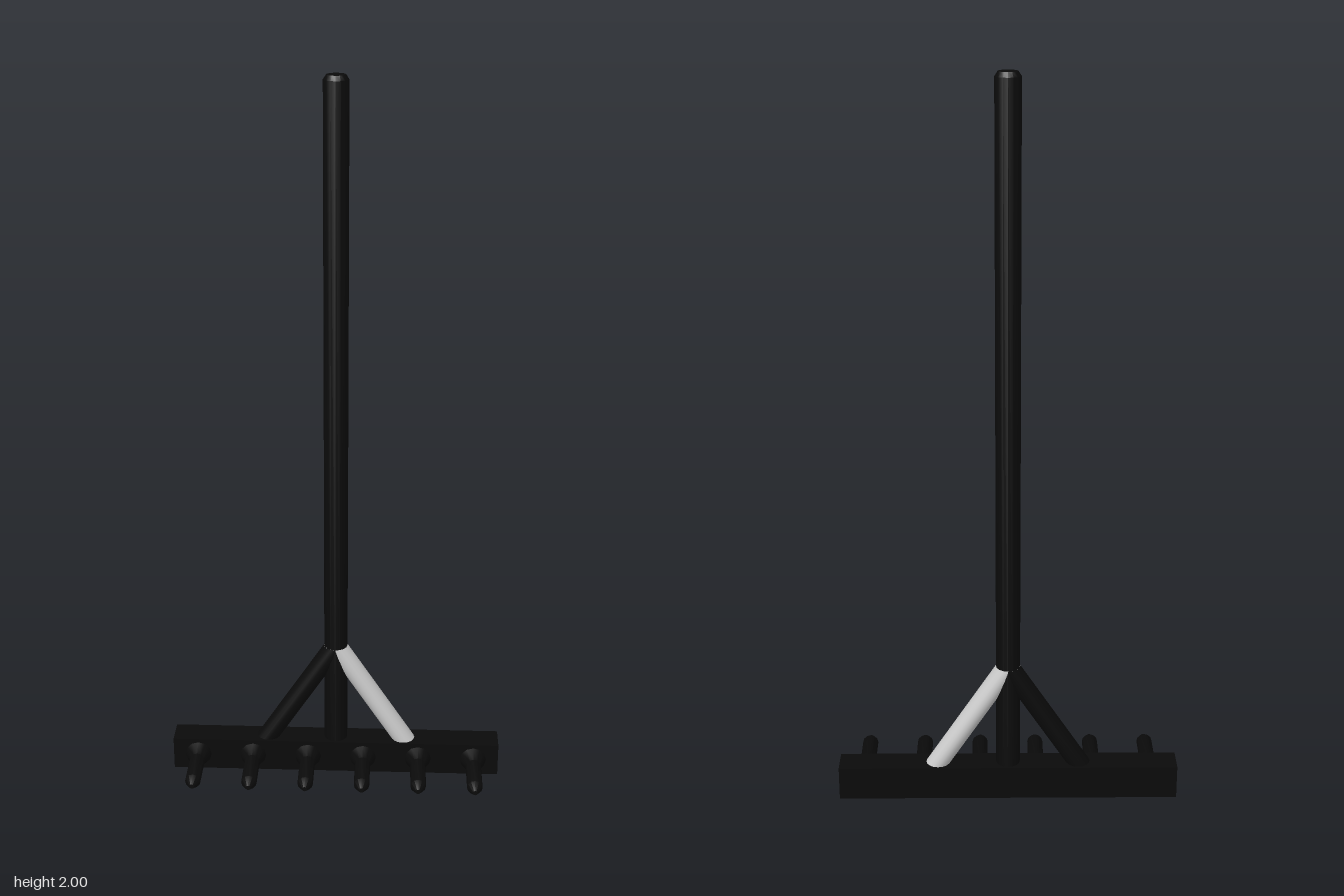
import * as THREE from 'three';
import { toCreasedNormals } from 'three/addons/utils/BufferGeometryUtils.js';

const POLE_Z = -0.086;
const POLE_R = 0.033;

// Turned solid from [radius, height] pairs, bottom to top
function turned(profile, sides) {
  const points = profile.map(([r, y]) => new THREE.Vector2(r, y));
  return toCreasedNormals(new THREE.LatheGeometry(points, sides), 0.6);
}

// Upright cylinder sheared sideways, so both ends stay level
function braceGeometry(side) {
  const bottom = 0.09, top = 0.405, spread = 0.205;
  const geo = new THREE.CylinderGeometry(POLE_R + 0.0005, POLE_R + 0.0005, top - bottom, 16);
  geo.translate(0, (top + bottom) / 2, 0);
  const p = geo.attributes.position;
  for (let i = 0; i < p.count; i++) {
    p.setX(i, p.getX(i) + side * spread * (top - p.getY(i)) / (top - bottom));
  }
  return toCreasedNormals(geo, 0.6);
}

export function createModel() {
  const black = new THREE.MeshStandardMaterial({ color: 0x0a0a0a });
  black.name = 'black';
  const paleGrey = new THREE.MeshStandardMaterial({ color: 0xcccccc });
  paleGrey.name = 'paleGrey';

  const model = new THREE.Group();
  model.name = 'rake';
  const add = (name, geometry, material, x, y, z) => {
    const mesh = new THREE.Mesh(geometry, material);
    mesh.name = name;
    mesh.position.set(x, y, z);
    model.add(mesh);
    return mesh;
  };

  // Long pole with bevelled ends
  add('handle', turned([
    [0, 0], [POLE_R, 0.006], [POLE_R, 1.985], [0.025, 1.997], [0, 2],
  ], 16), black, 0, 0, POLE_Z);

  // Cross bar
  add('headBar', new THREE.BoxGeometry(0.94, 0.096, 0.078), black, 0, 0.058, POLE_Z);

  // Diagonal braces, one on each side
  add('leftBrace', braceGeometry(1), paleGrey, 0, 0, POLE_Z);
  add('rightBrace', braceGeometry(-1), black, 0, 0, POLE_Z);

  // Tines with a flared root and a blunt point
  const tine = turned([
    [0, 0], [0.038, 0], [0.022, 0.036], [0.022, 0.143], [0.007, 0.17], [0, 0.171],
  ], 12);
  for (let i = 0; i < 6; i++) {
    add('tine' + (i + 1), tine, black, -0.398 + i * 0.1592, 0.058, -0.048).rotation.x = Math.PI / 2;
  }

  return model;
}
